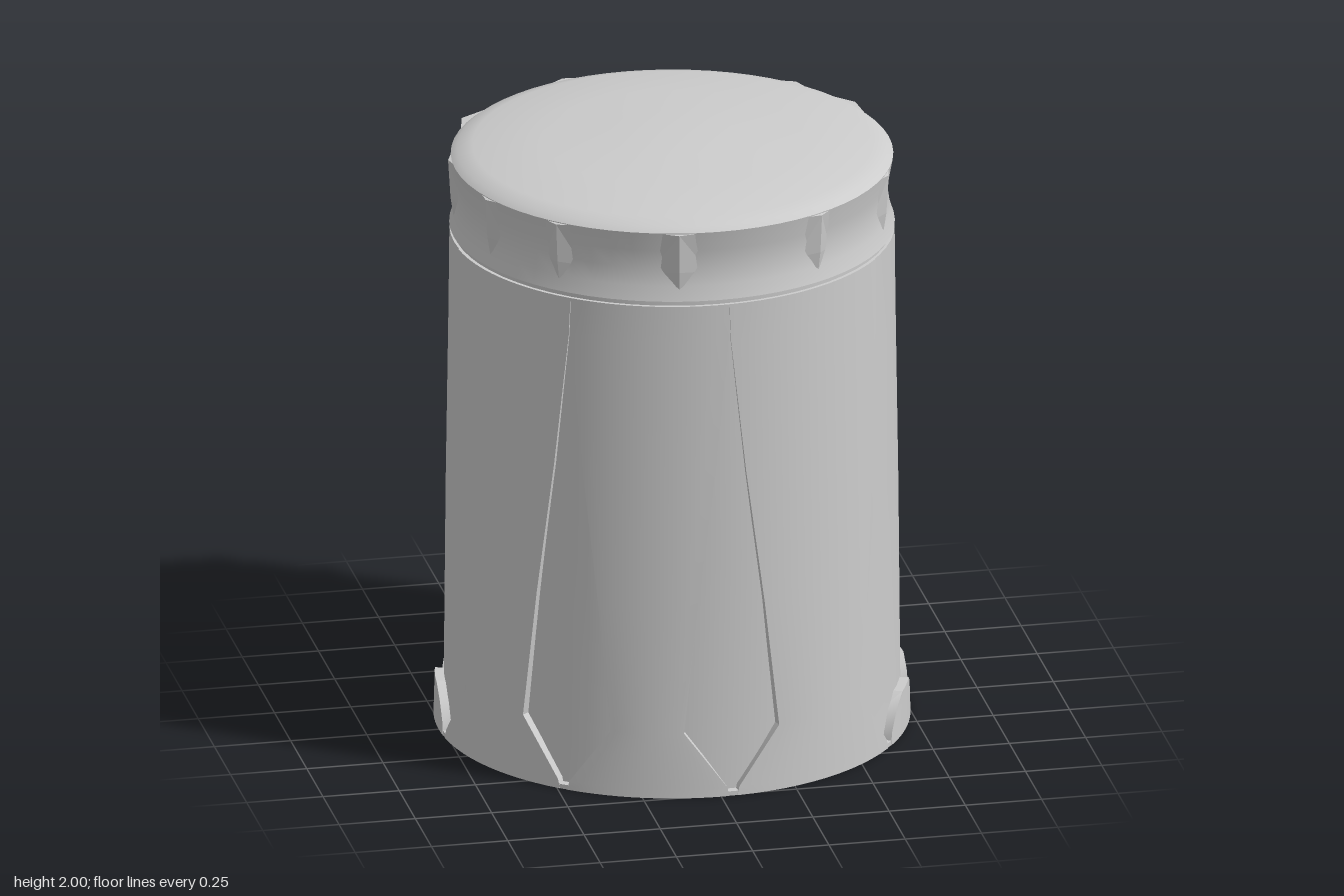
import * as THREE from 'three';
import { toCreasedNormals } from 'three/addons/utils/BufferGeometryUtils.js';

const material = new THREE.MeshStandardMaterial({ color: 0xcccccc, side: THREE.DoubleSide });
const rad = THREE.MathUtils.degToRad;

// Angle is in degrees, from the front (+z) towards the left (+x)
const polar = (r, a, y) => [r * Math.sin(rad(a)), y, r * Math.cos(rad(a))];
const shellRadius = (y) => 0.765 - 0.029 * y;

function addMesh(group, geometry, name) {
  const mesh = new THREE.Mesh(geometry, material);
  mesh.name = name;
  group.add(mesh);
}

function lathe(profile) {
  const points = profile.map(([r, y]) => new THREE.Vector2(r, y));
  return toCreasedNormals(new THREE.LatheGeometry(points, 64), rad(28));
}

// Raised panel between two angles; rows are [height, inset in degrees from each end]
function panel(from, to, rows, steps = 12) {
  const positions = [], index = [], width = steps + 3;
  const all = [...rows, rows[rows.length - 1]];
  all.forEach(([y, inset], j) => {
    const sunk = j === all.length - 1;
    for (let i = 0; i < width; i++) {
      const t = THREE.MathUtils.clamp((i - 1) / steps, 0, 1);
      const a = from + inset + (to - from - 2 * inset) * t;
      const edge = i === 0 || i === width - 1 || sunk;
      positions.push(...polar(edge ? 0.71 : shellRadius(y), a, y));
      if (j && i) {
        const c = j * width + i, d = c - width;
        index.push(d - 1, d, c, d - 1, c, c - 1);
      }
    }
  });
  const geometry = new THREE.BufferGeometry();
  geometry.setAttribute('position', new THREE.Float32BufferAttribute(positions, 3));
  geometry.setIndex(index);
  return toCreasedNormals(geometry, rad(30));
}

// Low four-sided stud bridging the waist of the lid
function stud(angle, halfWidth, tip) {
  const top = polar(tip, angle, 1.92), bottom = polar(0.7, angle, 1.71);
  const mid = polar(0.712, angle, 1.79);
  const left = polar(0.68, angle - halfWidth, 1.78), right = polar(0.68, angle + halfWidth, 1.78);
  const topLeft = polar(0.7, angle - halfWidth * 1.3, 1.925);
  const topRight = polar(0.7, angle + halfWidth * 1.3, 1.925);
  const faces = [
    bottom, mid, left, bottom, right, mid, left, mid, top, mid, right, top,
    left, top, topLeft, right, topRight, top, topLeft, top, topRight,
  ];
  const geometry = new THREE.BufferGeometry();
  geometry.setAttribute('position', new THREE.Float32BufferAttribute(faces.flat(), 3));
  geometry.computeVertexNormals();
  return geometry;
}

export function createModel() {
  const model = new THREE.Group();
  model.name = 'liddedJar';

  // Body core and foot disc
  addMesh(model, lathe([
    [0, 0.015], [0.737, 0.015], [0.732, 0.14], [0.726, 0.8], [0.717, 1.4], [0.714, 1.675], [0, 1.675],
  ]), 'bodyCore');
  addMesh(model, lathe([[0, 0], [0.764, 0], [0.764, 0.015], [0, 0.015]]), 'foot');

  // Tall staves around the front, parted by tapering gaps
  const staveRows = [[0, 1], [0.03, 1.5], [0.22, 12], [0.65, 8.5], [1.1, 4], [1.55, 0.3], [1.675, 0]];
  const staveSeams = [-85, -39, 3, 54];
  for (let i = 0; i < staveSeams.length - 1; i++) {
    addMesh(model, panel(staveSeams[i], staveSeams[i + 1], staveRows), 'stave');
  }

  // Short scallops around the foot at the sides and back
  const scallopSeams = [54, 84, 104, 136, 165, 188, 220, 246, 275];
  for (let i = 0; i < scallopSeams.length - 1; i++) {
    const from = scallopSeams[i], to = scallopSeams[i + 1], span = to - from;
    const rows = [[0, 0.03], [0.04, 0.05], [0.1, 0.16], [0.14, 0.34]];
    addMesh(model, panel(from, to, rows.map(([y, f]) => [y, f * span])), 'footScallop');
  }

  // Waisted lid with a shallow dome
  addMesh(model, lathe([
    [0, 1.675], [0.705, 1.675], [0.705, 1.69], [0.715, 1.692], [0.7, 1.74], [0.692, 1.8],
    [0.698, 1.86], [0.71, 1.925], [0.69, 1.94], [0.64, 1.955], [0.42, 1.976], [0.2, 1.991], [0, 2],
  ]), 'lid');

  // Studs around the lid: [angle, half width, tip radius]
  const studs = [
    [-68, 5, 0.72], [-43, 6, 0.72], [-10, 8, 0.72], [30, 6, 0.72], [63, 5, 0.72], [116, 10, 0.745],
    [136, 7, 0.75], [165, 7, 0.74], [196, 8, 0.75], [233, 8, 0.745], [262, 6, 0.72],
  ];
  studs.forEach((s) => addMesh(model, stud(...s), 'lidStud'));

  return model;
}
